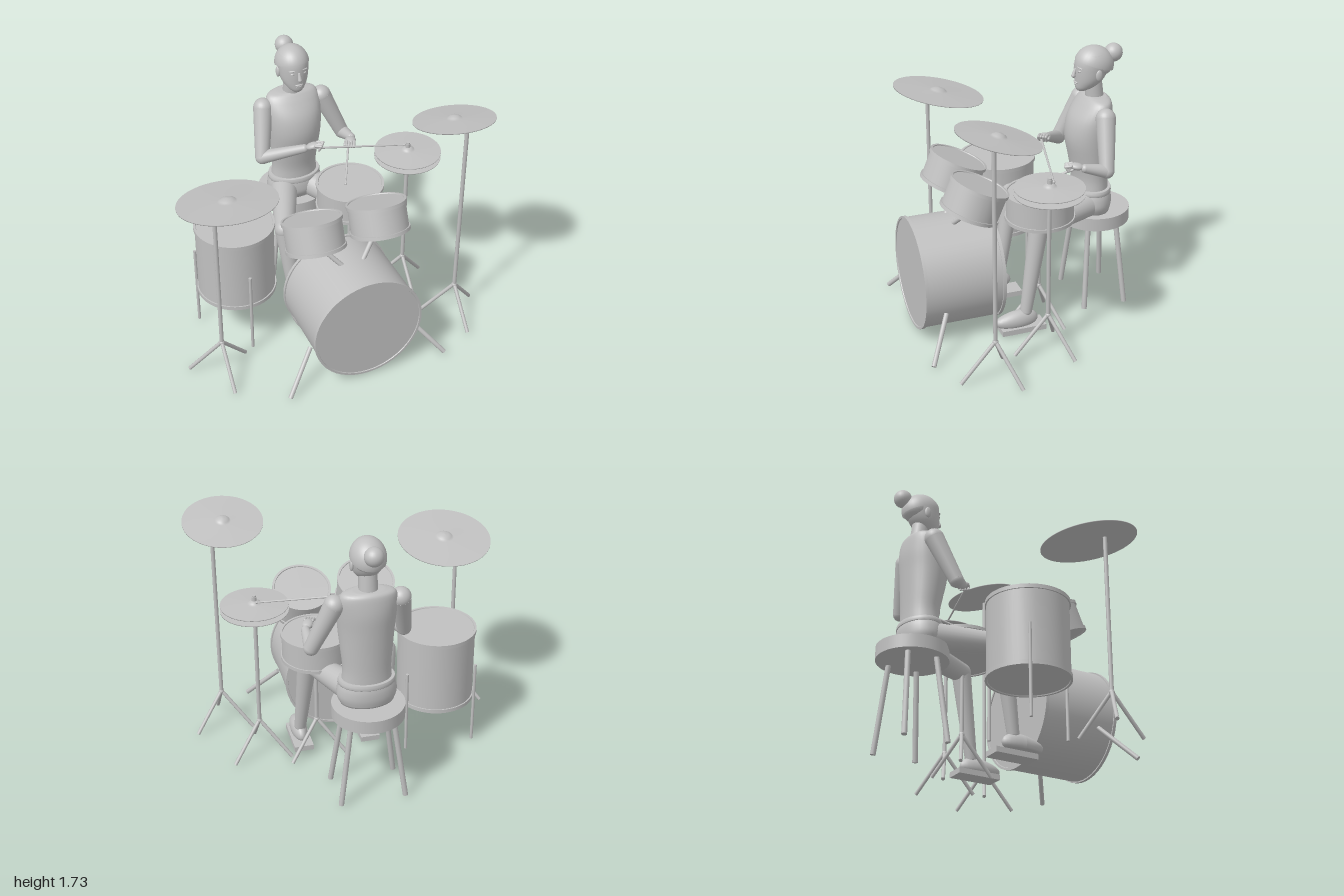
import * as THREE from 'three';
import { mergeVertices, toCreasedNormals } from 'three/addons/utils/BufferGeometryUtils.js';

const grey = new THREE.MeshStandardMaterial({ color: 0xc0c0c0, side: THREE.DoubleSide });
grey.name = 'plain grey';
const V = (x, y, z) => new THREE.Vector3(x, y, z);
const CX = 0.035; // drummer, stool and bass drum share this centre line

function add(parent, name, geo, pos = [0, 0, 0], rot = [0, 0, 0]) {
  const m = new THREE.Mesh(geo, grey);
  m.name = name;
  m.position.set(...pos);
  m.rotation.set(...rot);
  parent.add(m);
  return m;
}

function group(parent, name) {
  const g = new THREE.Group();
  g.name = name;
  parent.add(g);
  return g;
}

// Tapered rod between two points
function rod(parent, name, a, b, ra, rb = ra, sides = 12) {
  const A = V(...a), B = V(...b), d = B.clone().sub(A);
  const m = add(parent, name, new THREE.CylinderGeometry(rb, ra, d.length(), sides));
  m.position.copy(A).add(B).multiplyScalar(0.5);
  m.quaternion.setFromUnitVectors(V(0, 1, 0), d.normalize());
  return m;
}

function ball(parent, name, pos, sx, sy = sx, sz = sx, rot) {
  return add(parent, name, new THREE.SphereGeometry(1, 24, 16).scale(sx, sy, sz), pos, rot);
}

function limb(parent, name, a, b, ra, rb) {
  rod(parent, name, a, b, ra, rb, 24);
  ball(parent, name + 'Top', a, ra);
  ball(parent, name + 'End', b, rb);
}

// Stacked ellipses: [y, half width, half depth, centre z]
function loft(rows, sides = 32) {
  const pos = [], idx = [];
  const curve = new THREE.CatmullRomCurve3(rows.map(r => V(r[0], r[1], r[2])));
  const zs = new THREE.CatmullRomCurve3(rows.map(r => V(r[0], r[3], 0)));
  const n = (rows.length - 1) * 4;
  for (let i = 0; i <= n; i++) {
    const p = curve.getPoint(i / n), cz = zs.getPoint(i / n).y;
    for (let j = 0; j < sides; j++) {
      const a = (j / sides) * Math.PI * 2;
      pos.push(Math.sin(a) * p.y, p.x, cz + Math.cos(a) * p.z);
      const k = (j + 1) % sides, q = i * sides;
      if (i < n) idx.push(q + j, q + k, q + sides + j, q + k, q + sides + k, q + sides + j);
    }
  }
  const top = n * sides;
  for (let j = 1; j < sides - 1; j++) idx.push(0, j + 1, j, top, top + j, top + j + 1);
  const g = new THREE.BufferGeometry();
  g.setAttribute('position', new THREE.Float32BufferAttribute(pos, 3));
  g.setIndex(idx);
  g.computeVertexNormals();
  return g;
}

// Shell with a raised hoop and a recessed head at each end, centred at its origin
function drumGeometry(r, h, hoop) {
  const t = h / 2, R = r + 0.008, half = [[0, t - 0.006], [r - 0.008, t - 0.006], [r - 0.006, t], [R, t], [R, t - hoop], [r, t - hoop]];
  const pts = [...half.map(([x, y]) => [x, -y]), ...half.reverse()];
  const g = new THREE.LatheGeometry(pts.map(p => new THREE.Vector2(...p)), 48);
  return toCreasedNormals(g, 0.5);
}

function cymbal(parent, name, r, pos, tilt = 0, bell = 0.06) {
  const pts = [[0, -0.004], [r, -0.004], [r, 0.001], [bell, 0.005], [bell * 0.8, 0.015], [bell * 0.45, 0.025], [0, 0.028]];
  return add(parent, name, new THREE.LatheGeometry(pts.map(p => new THREE.Vector2(...p)), 48), pos, [-tilt, 0, 0]);
}

// Column on three splayed legs
function stand(parent, name, x, z, top) {
  const g = group(parent, name);
  rod(g, 'column', [x, 0.25, z], [x, top, z], 0.013);
  ball(g, 'collar', [x, 0.255, z], 0.018);
  for (let i = 0; i < 3; i++) {
    const a = (i * Math.PI * 2) / 3;
    rod(g, 'standLeg', [x, 0.26, z], [x + Math.sin(a) * 0.215, 0.012, z + Math.cos(a) * 0.215], 0.012);
  }
  return g;
}

function buildDrums(root) {
  const bass = group(root, 'bassDrum');
  add(bass, 'shell', drumGeometry(0.35, 0.515, 0.02), [CX, 0.378, 0.458], [Math.PI / 2, 0, 0]);
  for (const s of [-1, 1]) rod(bass, 'spur', [CX + s * 0.335, 0.245, 0.585], [CX + s * 0.53, 0.014, 0.73], 0.015);

  const floor = group(root, 'floorTom');
  add(floor, 'shell', drumGeometry(0.246, 0.5, 0.025), [-0.54, 0.58, -0.06]);
  for (let i = 0; i < 3; i++) {
    const a = (i * Math.PI * 2) / 3, x = -0.54 + Math.sin(a) * 0.262, z = -0.06 + Math.cos(a) * 0.262;
    rod(floor, 'floorTomLeg', [x, 0.012, z], [x, 0.58, z], 0.01);
  }

  const snare = group(root, 'snare');
  add(snare, 'shell', drumGeometry(0.21, 0.18, 0.022), [0.25, 0.822, -0.065]);
  stand(snare, 'snareStand', 0.25, -0.06, 0.74);

  for (const s of [-1, 1]) {
    const tom = group(root, s < 0 ? 'rightRackTom' : 'leftRackTom');
    add(tom, 'shell', drumGeometry(0.18, 0.195, 0.022), [CX + s * 0.213, 0.93, 0.355], [-0.4, 0, 0]);
    rod(tom, 'mount', [CX + s * 0.06, 0.7, 0.46], [CX + s * 0.2, 0.85, 0.37], 0.015);
  }
}

function buildCymbals(root) {
  stand(root, 'rightCymbalStand', -0.79, 0.34, 1.265);
  cymbal(root, 'rightCymbal', 0.3, [-0.69, 1.27, 0.29], 0.2);
  stand(root, 'leftCymbalStand', 0.79, 0.415, 1.515);
  cymbal(root, 'leftCymbal', 0.25, [0.725, 1.52, 0.365], 0.245, 0.05);

  const hat = stand(root, 'hiHat', 0.61, 0.015, 1.17);
  cymbal(hat, 'upperHat', 0.21, [0.61, 1.11, 0.015], 0, 0.045);
  cymbal(hat, 'lowerHat', 0.21, [0.61, 1.07, 0.015], Math.PI, 0.045);
  rod(hat, 'clutch', [0.61, 1.11, 0.015], [0.61, 1.16, 0.015], 0.016);
}

function buildStool(root) {
  const stool = group(root, 'stool');
  add(stool, 'seat', new THREE.CylinderGeometry(0.224, 0.224, 0.085, 48), [CX, 0.608, -0.523]);
  for (const sx of [-1, 1]) for (const sz of [-1, 1])
    rod(stool, 'stoolLeg', [CX + sx * 0.205, 0.012, -0.523 + sz * 0.14], [CX + sx * 0.13, 0.575, -0.523 + sz * 0.095], 0.017);
}

// Fist: palm with curled fingers and a thumb, pointing along +z
function hand(parent, name, pos, dir, side) {
  const g = group(parent, name);
  g.position.set(...pos);
  g.lookAt(V(...pos).add(V(...dir)));
  ball(g, 'palm', [0, 0.004, -0.015], 0.034, 0.021, 0.045);
  for (let i = 0; i < 4; i++) {
    const x = (i - 1.5) * 0.016;
    limb(g, 'finger', [x, 0.008, 0.015], [x, -0.004, 0.05], 0.0095, 0.009);
    limb(g, 'fingertip', [x, -0.004, 0.05], [x, -0.026, 0.025], 0.009, 0.008);
  }
  limb(g, 'thumb', [side * 0.028, 0, -0.02], [side * 0.036, -0.012, 0.03], 0.011, 0.009);
}

function buildHead(drummer) {
  const head = group(drummer, 'head');
  head.position.x = CX;
  add(head, 'skull', loft([[1.453, 0.03, 0.03, -0.415], [1.475, 0.056, 0.062, -0.437], [1.52, 0.083, 0.09, -0.462], [1.58, 0.095, 0.107, -0.477], [1.64, 0.097, 0.11, -0.485], [1.69, 0.08, 0.09, -0.49], [1.715, 0.03, 0.03, -0.49]]));
  rod(head, 'neck', [0, 1.38, -0.505], [0, 1.52, -0.49], 0.058, 0.054, 24);
  // Hair cap, lower at the back, with a bun
  const cap = new THREE.SphereGeometry(1, 32, 16, 0, Math.PI * 2, 0, Math.PI * 0.5).scale(0.107, 0.118, 0.126);
  add(head, 'hair', cap, [0, 1.61, -0.494], [-0.33, 0, 0]);
  ball(head, 'hairBack', [0, 1.605, -0.525], 0.092, 0.07, 0.085);
  ball(head, 'bun', [0, 1.67, -0.622], 0.058);
  // Face
  limb(head, 'nose', [0, 1.59, -0.372], [0, 1.55, -0.36], 0.008, 0.014);
  ball(head, 'upperLip', [0, 1.508, -0.377], 0.026, 0.007, 0.012);
  ball(head, 'lowerLip', [0, 1.496, -0.38], 0.022, 0.007, 0.012);
  for (const s of [-1, 1]) {
    ball(head, 'eye', [s * 0.038, 1.585, -0.387], 0.015, 0.009, 0.012);
    ball(head, 'brow', [s * 0.04, 1.609, -0.385], 0.024, 0.005, 0.01, [0, s * 0.35, -s * 0.12]);
    ball(head, 'ear', [s * 0.096, 1.565, -0.49], 0.012, 0.036, 0.022);
  }
}

// Sloping shoe with a flat sole
function shoe(parent, name, pos, turn) {
  const g = new THREE.SphereGeometry(1, 24, 16).scale(0.053, 0.062, 0.142);
  const p = g.attributes.position;
  for (let i = 0; i < p.count; i++) {
    const lift = 1 - 0.3 * (p.getZ(i) / 0.142);
    p.setY(i, p.getY(i) < 0 ? Math.max(p.getY(i), -0.032) : p.getY(i) * lift);
  }
  g.computeVertexNormals();
  add(parent, name, g, pos, [0, turn, 0]);
}

function buildDrummer(root) {
  const d = group(root, 'drummer');
  add(d, 'torso', loft([[0.79, 0.155, 0.112, -0.482], [0.88, 0.148, 0.112, -0.482], [1.0, 0.158, 0.125, -0.473], [1.15, 0.172, 0.142, -0.463], [1.27, 0.18, 0.134, -0.476], [1.36, 0.176, 0.1, -0.5], [1.395, 0.155, 0.08, -0.51], [1.412, 0.09, 0.06, -0.51]]), [CX, 0, 0]);
  add(d, 'hips', loft([[0.65, 0.165, 0.115, -0.49], [0.7, 0.185, 0.133, -0.482], [0.75, 0.182, 0.133, -0.482], [0.79, 0.17, 0.126, -0.482]]), [CX, 0, 0]);
  add(d, 'waistband', loft([[0.78, 0.176, 0.132, -0.482], [0.795, 0.177, 0.132, -0.482], [0.812, 0.172, 0.128, -0.482]]), [CX, 0, 0]);
  buildHead(d);

  // Arms, hands and sticks
  const arms = [
    { n: 'right', sh: [-0.165, 1.325, -0.495], el: [-0.225, 1.04, -0.37], wr: [-0.005, 1.15, -0.205], ha: [0.05, 1.18, -0.165], s: [0.02, 1.18, -0.15], tip: [0.6, 1.135, -0.015], side: 1 },
    { n: 'left', sh: [0.235, 1.325, -0.495], el: [0.365, 1.035, -0.455], wr: [0.365, 1.075, -0.31], ha: [0.335, 1.085, -0.25], s: [0.35, 1.085, -0.31], tip: [0.2, 0.94, -0.02], side: -1 },
  ];
  for (const a of arms) {
    limb(d, a.n + 'UpperArm', a.sh, a.el, 0.062, 0.046);
    limb(d, a.n + 'Forearm', a.el, a.wr, 0.045, 0.027);
    hand(d, a.n + 'Hand', a.ha, a.ha.map((v, i) => v - a.wr[i]), a.side);
    rod(d, a.n + 'Stick', a.s, a.tip, 0.008, 0.005);
    ball(d, a.n + 'StickTip', a.tip, 0.008);
  }

  // Legs, shoes and pedals
  const legs = [
    { n: 'right', hip: [-0.05, 0.715, -0.45], knee: [-0.212, 0.695, -0.04], ankle: [-0.175, 0.14, 0.055], pedal: -0.112 },
    { n: 'left', hip: [0.12, 0.715, -0.45], knee: [0.3, 0.695, -0.04], ankle: [0.335, 0.14, 0.055], pedal: 0.335 },
  ];
  for (const l of legs) {
    limb(d, l.n + 'Thigh', l.hip, l.knee, 0.09, 0.064);
    limb(d, l.n + 'Shin', l.knee, l.ankle, 0.062, 0.038);
    shoe(d, l.n + 'Shoe', [l.ankle[0], 0.085, 0.12], 0);
    add(root, l.n + 'Pedal', new THREE.BoxGeometry(0.125, 0.035, 0.29), [l.pedal, 0.034, 0.085]);
  }
}

export function createModel() {
  const root = new THREE.Group();
  root.name = 'drummerAtKit';
  buildDrums(root);
  buildCymbals(root);
  buildStool(root);
  buildDrummer(root);
  return root;
}
